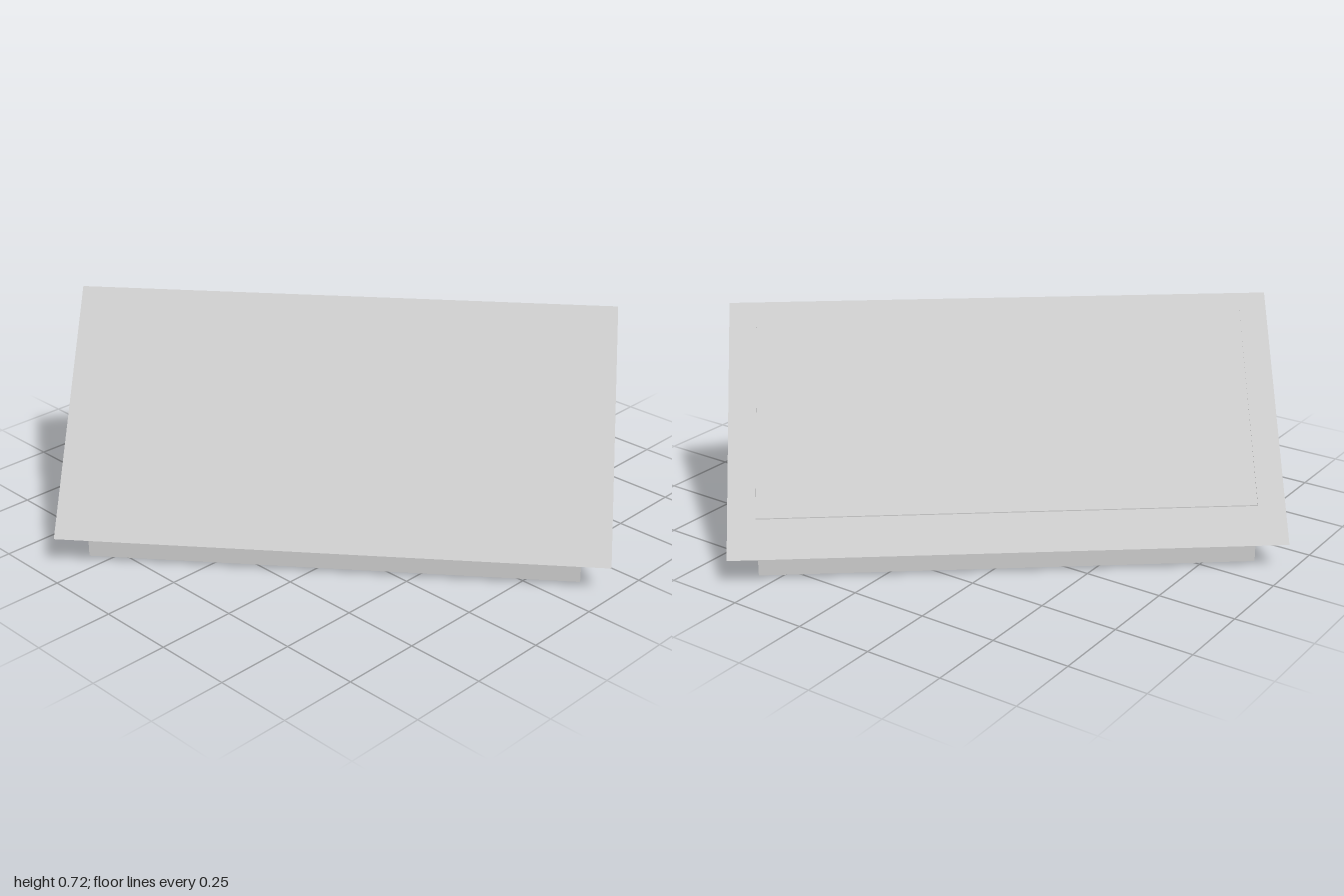
import * as THREE from 'three';

const RIDGE = 0.722, ROOF_HALF = 0.845; // ridge height, half length of the roof
const WALL_X = 0.456, WALL_Z = 0.76, WALL_TOP = 0.19; // half width, half length, height of walls

const material = new THREE.MeshStandardMaterial({
  color: 0xcccccc, side: THREE.DoubleSide, flatShading: true,
});

function addMesh(group, name, geometry) {
  const mesh = new THREE.Mesh(geometry, material);
  mesh.name = name;
  group.add(mesh);
  return mesh;
}

// Flat strip running along z between two points of the end-on profile
function strip([x0, y0], [x1, y1], halfLength) {
  const geometry = new THREE.PlaneGeometry(1, 2 * halfLength);
  const pos = geometry.attributes.position;
  for (let i = 0; i < pos.count; i++) {
    const t = pos.getX(i) + 0.5;
    pos.setXYZ(i, x0 + (x1 - x0) * t, y0 + (y1 - y0) * t, -pos.getY(i));
  }
  geometry.computeVertexNormals();
  return geometry;
}

const toPoints = (list) => list.map(([x, y]) => new THREE.Vector2(x, y));

function gableShape() {
  return new THREE.Shape(toPoints([
    [-WALL_X, 0], [WALL_X, 0], [WALL_X, WALL_TOP], [0, RIDGE], [-WALL_X, WALL_TOP],
  ]));
}

export function createModel() {
  const model = new THREE.Group();
  model.name = 'tent';
  const tent = new THREE.Group();
  tent.name = 'tentBody';
  tent.rotation.y = 0.672; // ridge runs diagonally
  model.add(tent);

  // Sloping roof sheets, overhanging the walls
  addMesh(tent, 'roofRight', strip([-0.537, 0.1], [0, RIDGE], ROOF_HALF));
  addMesh(tent, 'roofLeft', strip([0, RIDGE], [0.537, 0.092], ROOF_HALF));

  // Low side walls; the underside is open
  addMesh(tent, 'sideWallRight', strip([-WALL_X, 0], [-WALL_X, WALL_TOP], WALL_Z));
  addMesh(tent, 'sideWallLeft', strip([WALL_X, WALL_TOP], [WALL_X, 0], WALL_Z));

  // Front gable with the drawn-back door opening
  const front = gableShape();
  front.holes.push(new THREE.Path(toPoints([
    [0.026, 0.589], [0.032, 0.5], [0.031, 0.41], [0.025, 0.3], [0, 0.188], [-0.027, 0.093],
    [0.233, 0.096], [0.245, 0.142], [0.24, 0.188], [0.147, 0.39], [0.05, 0.582],
  ])));
  addMesh(tent, 'frontGable', new THREE.ShapeGeometry(front)).position.z = WALL_Z;

  // Closed rear gable
  const back = addMesh(tent, 'backGable', new THREE.ShapeGeometry(gableShape()));
  back.rotation.y = Math.PI;
  back.position.z = -WALL_Z;

  return model;
}
